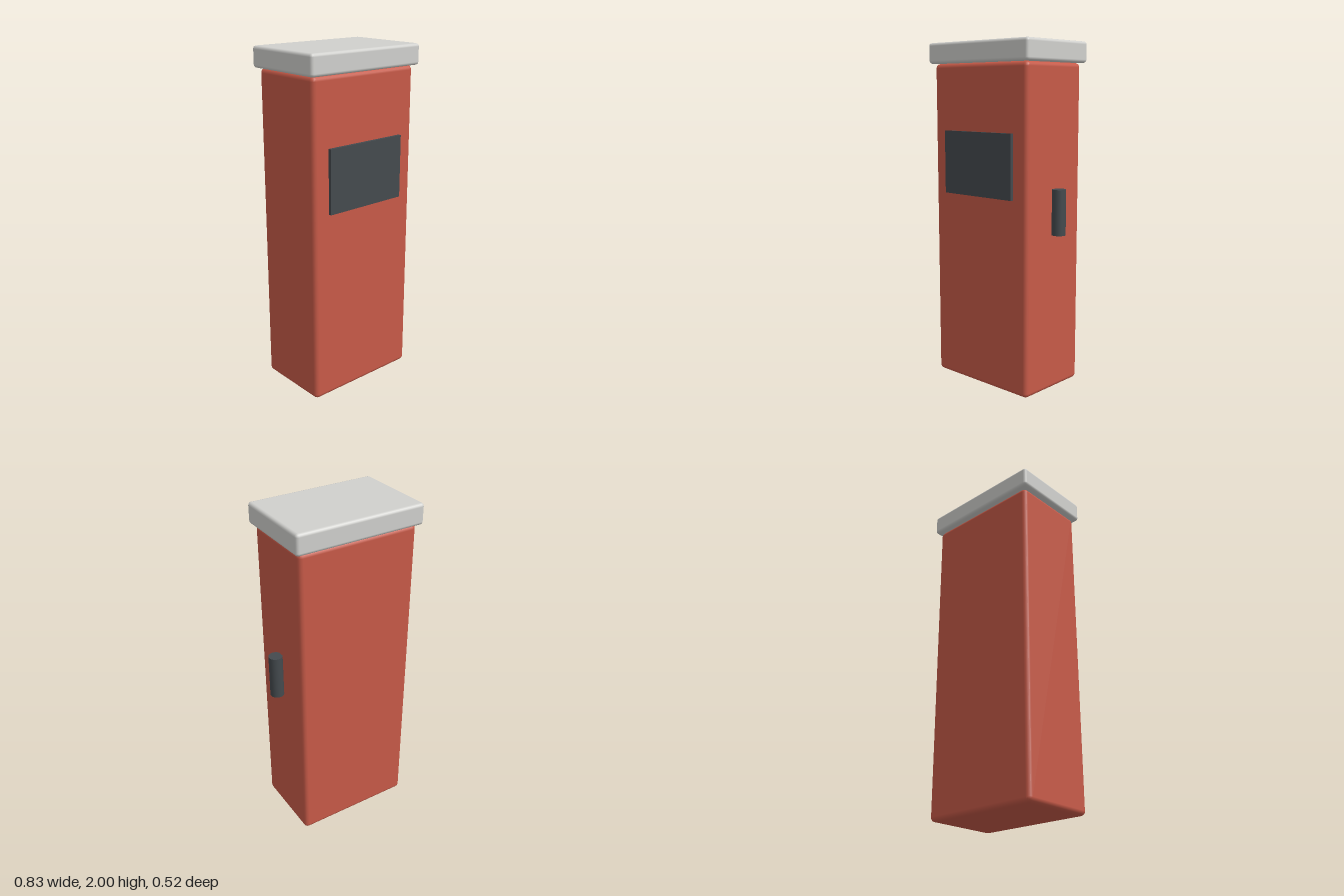
import * as THREE from 'three';
import { RoundedBoxGeometry } from 'three/addons/geometries/RoundedBoxGeometry.js';

const material = (name, color) => {
  const m = new THREE.MeshStandardMaterial({ color });
  m.name = name;
  return m;
};

export function createModel() {
  const model = new THREE.Group();
  model.name = 'kioskPillar';

  const red = material('red paint', 0xc75a48);
  const grey = material('light grey', 0xd0d0cd);
  const dark = material('dark grey', 0x444a4e);

  const add = (name, geometry, mat, x, y, z) => {
    const mesh = new THREE.Mesh(geometry, mat);
    mesh.name = name;
    mesh.position.set(x, y, z);
    model.add(mesh);
  };

  const centreX = -0.026; // the handle on the side shifts the cabinet off centre

  // Cabinet and overhanging cap, both with softened edges
  add('cabinet', new RoundedBoxGeometry(0.726, 1.88, 0.466, 2, 0.026), red, centreX, 0.94, 0);
  add('cap', new RoundedBoxGeometry(0.778, 0.12, 0.518, 2, 0.018), grey, centreX, 1.94, 0);

  // Screen standing slightly proud of the front
  add('screen', new THREE.BoxGeometry(0.522, 0.367, 0.026), dark, centreX, 1.311, 0.239);

  // Upright grip on the left side
  add('handle', new THREE.CylinderGeometry(0.04, 0.04, 0.26, 24), dark, 0.373, 1.05, 0);

  return model;
}
